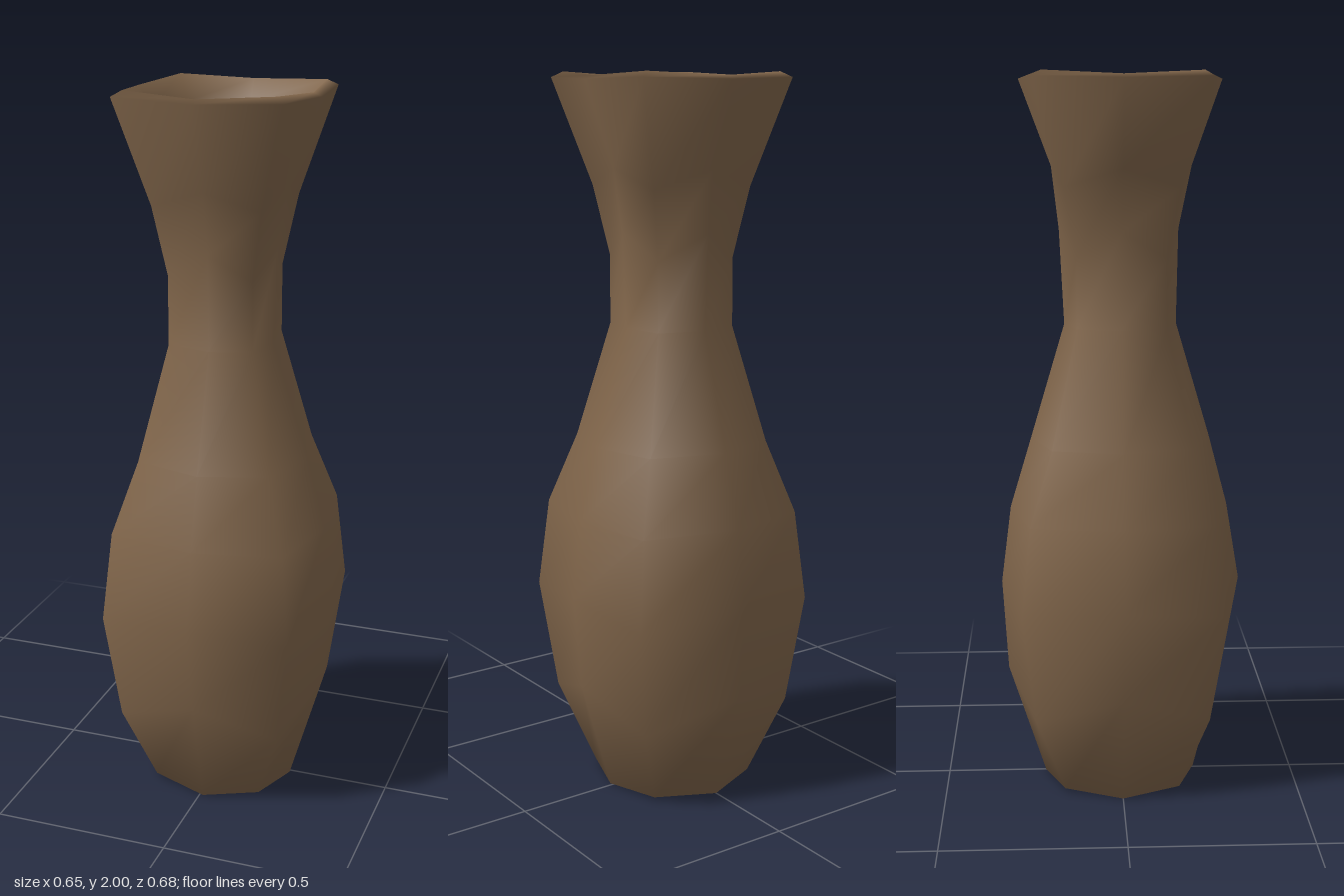
import * as THREE from 'three';

// Outer wall, lip and inner cup in one run:
// [y, +x reach, -x reach, +z reach, -z reach, corner reach, corner height offset]
const RINGS = [
  [0.00, 0.210, 0.208, 0.215, 0.218, 0.162, 0.01],
  [0.32, 0.303, 0.293, 0.295, 0.322, 0.240, -0.08],
  [0.58, 0.325, 0.325, 0.340, 0.338, 0.277, -0.03],
  [0.80, 0.300, 0.285, 0.303, 0.310, 0.253, 0],
  [1.00, 0.248, 0.230, 0.250, 0.250, 0.192, 0],
  [1.32, 0.145, 0.150, 0.155, 0.155, 0.122, 0],
  [1.58, 0.155, 0.130, 0.160, 0.168, 0.122, -0.07],
  [1.75, 0.182, 0.190, 0.195, 0.188, 0.155, -0.05],
  [1.98, 0.268, 0.265, 0.276, 0.274, 0.234, 0.005],
  [1.99, 0.246, 0.238, 0.250, 0.248, 0.210, 0.01],
  [1.93, 0.215, 0.205, 0.220, 0.218, 0.178, 0],
  [1.68, 0.145, 0.125, 0.150, 0.145, 0.116, 0],
  [1.42, 0.125, 0.108, 0.135, 0.130, 0.104, 0],
];
const FLOOR_Y = 1.34;

// Eight points around one slightly uneven, squarish ring
function ringPoints([y, right, left, front, back, c, offset]) {
  const h = y + offset;
  return [
    [0.01, y, front], [c, h, c],
    [right, y, 0.01], [c * 1.05, h, -c * 0.96],
    [0, y, -back], [-c * 0.96, h, -c],
    [-left, y, 0], [-c * 0.95, h, c],
  ];
}

function vaseGeometry() {
  const sides = 8;
  const last = RINGS.length - 1;
  const positions = RINGS.flatMap((r) => ringPoints(r).flat());
  const base = RINGS.length * sides;
  const floor = base + 1;
  positions.push(0, 0, 0, 0.02, FLOOR_Y, 0.02);

  const index = [];
  for (let j = 0; j < sides; j++) {
    const k = (j + 1) % sides;
    for (let i = 0; i < last; i++) {
      const a = i * sides + j, b = i * sides + k;
      index.push(a, b, b + sides, a, b + sides, a + sides);
    }
    index.push(base, k, j); // underside
    index.push(last * sides + j, last * sides + k, floor); // inside floor
  }
  const geometry = new THREE.BufferGeometry();
  geometry.setAttribute('position', new THREE.Float32BufferAttribute(positions, 3));
  geometry.setIndex(index);
  geometry.computeVertexNormals();
  return geometry;
}

export function createModel() {
  const group = new THREE.Group();
  group.name = 'vase';
  const clay = new THREE.MeshStandardMaterial({ color: 0x80654a });
  clay.name = 'brown clay';
  const body = new THREE.Mesh(vaseGeometry(), clay);
  body.name = 'vaseBody';
  group.add(body);
  return group;
}
